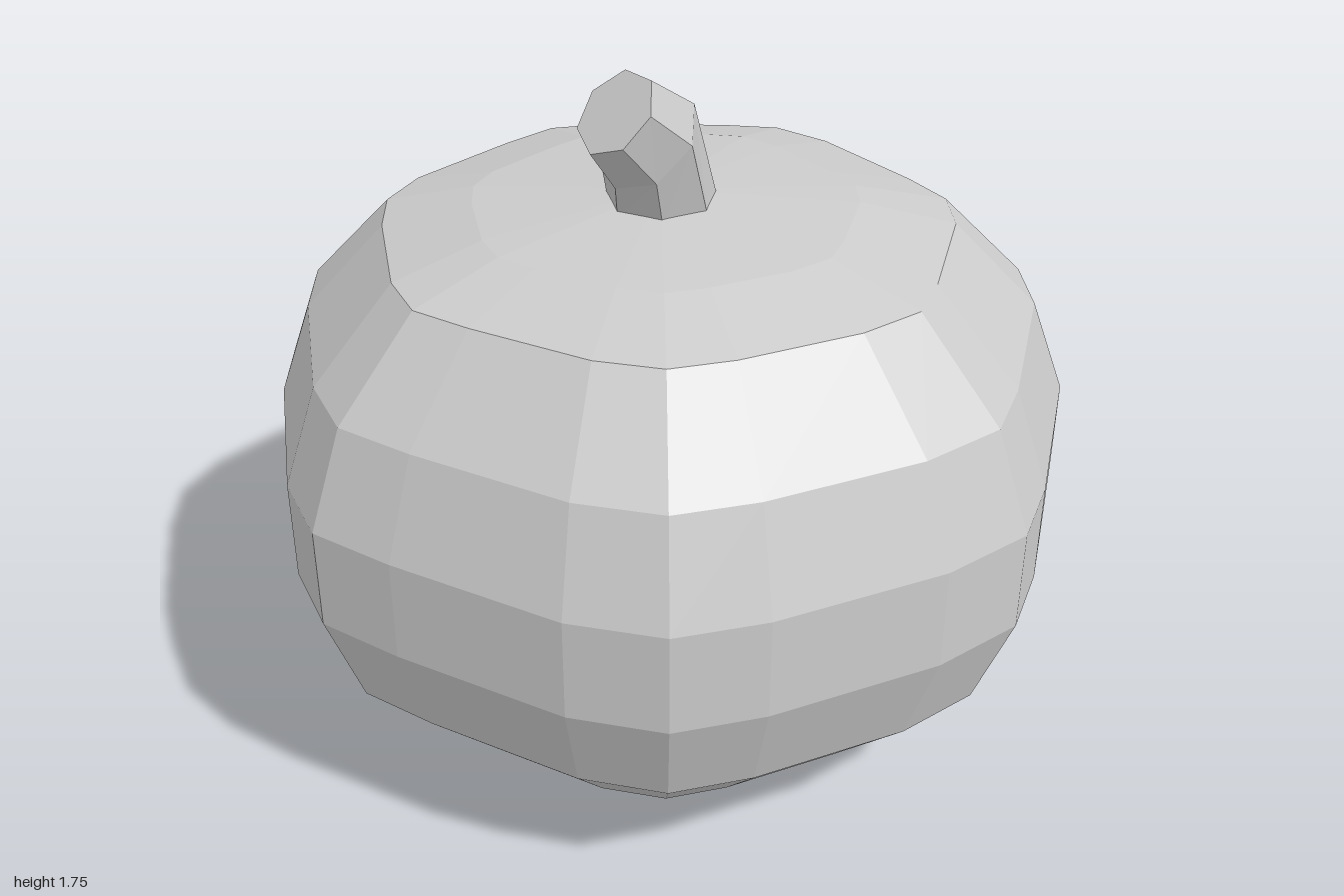
import * as THREE from 'three';

const material = new THREE.MeshStandardMaterial({ color: 0xcccccc, flatShading: true });

// Skin a stack of closed rings (counter-clockwise from above) and cap both ends.
function loft(rings, name) {
  const n = rings[0].length;
  const points = rings.flat();
  const index = [];
  for (let r = 0; r < rings.length - 1; r++) {
    for (let j = 0; j < n; j++) {
      const a = r * n + j, b = r * n + (j + 1) % n;
      index.push(a, b, b + n, a, b + n, a + n);
    }
  }
  for (const top of [false, true]) {
    const ring = top ? rings[rings.length - 1] : rings[0];
    const start = top ? (rings.length - 1) * n : 0;
    const centre = new THREE.Vector3();
    ring.forEach(p => centre.addScaledVector(p, 1 / n));
    const c = points.push(centre) - 1;
    for (let j = 0; j < n; j++) {
      const a = start + j, b = start + (j + 1) % n;
      index.push(c, top ? a : b, top ? b : a);
    }
  }
  const indexed = new THREE.BufferGeometry().setFromPoints(points);
  indexed.setIndex(index);
  const geometry = indexed.toNonIndexed();
  geometry.computeVertexNormals();
  const mesh = new THREE.Mesh(geometry, material);
  mesh.name = name;
  return mesh;
}

// Seven irregular lobes, three points each, as [x, z] at the widest height.
const outline = [
  [0, 0.99], [0.21, 0.92], [0.61, 0.75],
  [0.79, 0.61], [0.88, 0.41], [0.99, 0],
  [1, -0.24], [0.9, -0.42], [0.61, -0.82],
  [0.44, -0.95], [0.23, -0.98], [-0.23, -1],
  [-0.45, -0.95], [-0.6, -0.81], [-0.9, -0.46],
  [-1, -0.26], [-0.98, -0.04], [-0.9, 0.41],
  [-0.8, 0.6], [-0.62, 0.73], [-0.21, 0.94],
];

// Body profile: [scale of the outline, height].
const profile = [
  [0.24, 0], [0.46, 0.05], [0.69, 0.14], [0.91, 0.36], [1, 0.61],
  [1, 0.86], [0.91, 1.1], [0.7, 1.32], [0.47, 1.38], [0.13, 1.41],
];

// Stem rings: centre, radius and forward tilt.
const stemRings = [
  { at: [0.01, 1.39, 0], radius: 0.135, tilt: 0 },
  { at: [0.045, 1.575, 0.07], radius: 0.135, tilt: 0.77 },
  { at: [0.08, 1.68, 0.19], radius: 0.108, tilt: 0.84 },
];

export function createModel() {
  const group = new THREE.Group();
  group.name = 'pumpkin';

  group.add(loft(profile.map(([s, y]) =>
    outline.map(([x, z]) => new THREE.Vector3(x * s, y, z * s))), 'body'));

  // Seven-sided stem, bent forward.
  const xAxis = new THREE.Vector3(1, 0, 0);
  group.add(loft(stemRings.map(({ at, radius, tilt }) =>
    Array.from({ length: 7 }, (_, i) => {
      const a = i / 7 * Math.PI * 2;
      return new THREE.Vector3(Math.sin(a) * radius, 0, Math.cos(a) * radius)
        .applyAxisAngle(xAxis, tilt).add(new THREE.Vector3(...at));
    })), 'stem'));

  return group;
}
